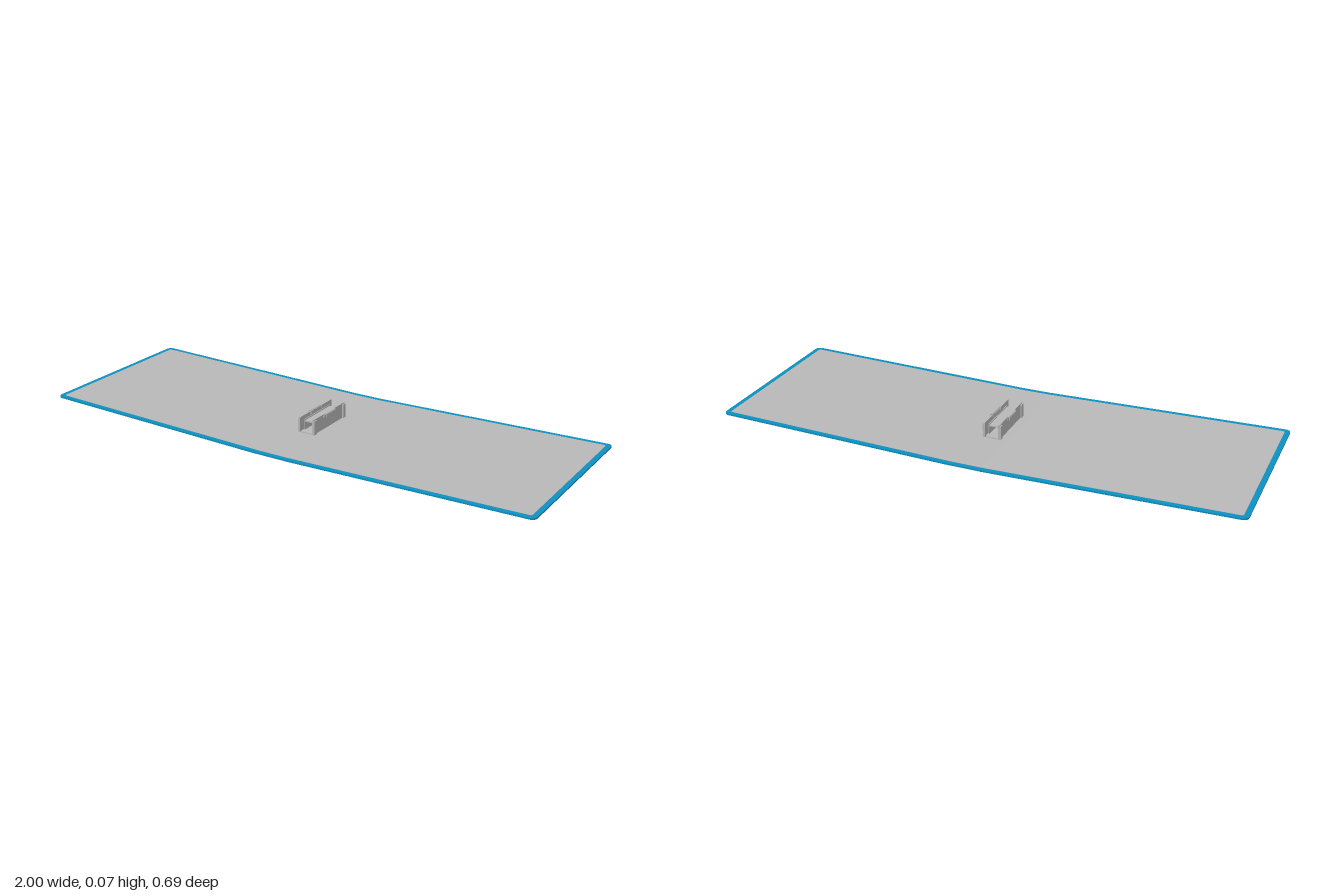
import * as THREE from 'three';

const HALF_X = 1, HALF_Z = 0.346, FLAT = 0.058, RISE = 0.021;

export function createModel() {
  const model = new THREE.Group();
  const blue = new THREE.MeshStandardMaterial({ color: 0x0b90c0 });
  blue.name = 'blue rim';
  const grey = new THREE.MeshStandardMaterial({ color: 0xb8b8b8 });
  grey.name = 'light grey';

  const add = (name, geometry, material, parent = model) => {
    const mesh = new THREE.Mesh(geometry, material);
    mesh.name = name;
    parent.add(mesh);
    return mesh;
  };
  const box = (name, sx, sy, sz, x, y, z, parent) => {
    const m = add(name, new THREE.BoxGeometry(sx, sy, sz), grey, parent);
    m.position.set(x, y, z);
  };

  // One sloping wing: flat slab with two rounded outer corners, sheared upward
  const wing = (inset, y, thickness) => {
    const x = HALF_X - inset, z = HALF_Z - inset, r = inset ? 0.008 : 0.02;
    const s = new THREE.Shape();
    s.moveTo(FLAT, -z);
    s.lineTo(x - r, -z);
    s.absarc(x - r, -z + r, r, -Math.PI / 2, 0, false);
    s.absarc(x - r, z - r, r, 0, Math.PI / 2, false);
    s.lineTo(FLAT, z);
    const g = new THREE.ExtrudeGeometry(s, { depth: thickness, bevelEnabled: false, curveSegments: 6 });
    g.rotateX(-Math.PI / 2);
    const p = g.attributes.position;
    for (let i = 0; i < p.count; i++) {
      p.setY(i, p.getY(i) + y + RISE * (p.getX(i) - FLAT) / (HALF_X - FLAT));
    }
    g.computeVertexNormals();
    return g;
  };

  // Two mirrored wings: blue tray with a grey face inside the rim
  for (const [side, turn] of [['left', 0], ['right', Math.PI]]) {
    add(side + 'Tray', wing(0, 0, 0.0055), blue).rotation.y = turn;
    add(side + 'Face', wing(0.019, 0.0055, 0.001), grey).rotation.y = turn;
  }

  // Flat middle section with a grey strip underneath
  const middle = add('middleTray', new THREE.BoxGeometry(FLAT * 2, 0.0045, HALF_Z * 2), blue);
  middle.position.y = 0.00325;
  box('undersideStrip', FLAT * 2, 0.001, HALF_Z * 2, 0, 0.0005, 0);
  box('middleFace', FLAT * 2, 0.001, (HALF_Z - 0.019) * 2, 0, 0.006, 0);

  // Clip bracket in the centre
  const bracket = new THREE.Group();
  bracket.name = 'bracket';
  model.add(bracket);
  box('bracketFloor', 0.06, 0.004, 0.215, 0, 0.008, 0, bracket);
  box('bridgePlate', 0.046, 0.005, 0.172, 0, 0.0445, 0, bracket);

  // Side wall outline with two slots that free the middle tab
  const wall = new THREE.Shape([
    [-0.109, 0.006], [0.109, 0.006], [0.109, 0.065], [0.038, 0.065],
    [0.038, 0.053], [0.033, 0.053], [0.033, 0.062], [-0.033, 0.062],
    [-0.033, 0.053], [-0.038, 0.053], [-0.038, 0.065], [-0.109, 0.065],
  ].map(([a, b]) => new THREE.Vector2(a, b)));
  const wallGeometry = new THREE.ExtrudeGeometry(wall, { depth: 0.005, bevelEnabled: false });
  wallGeometry.rotateY(Math.PI / 2);

  // Outward-curling lip on the tab
  const lip = new THREE.Shape();
  lip.moveTo(0, 0.06);
  lip.absarc(0.007, 0.06, 0.007, Math.PI, 0, true);
  lip.lineTo(0.014, 0.053);
  lip.lineTo(0.011, 0.053);
  lip.lineTo(0.011, 0.06);
  lip.absarc(0.007, 0.06, 0.004, 0, Math.PI, false);
  const lipGeometry = new THREE.ExtrudeGeometry(lip, { depth: 0.066, bevelEnabled: false, curveSegments: 8 });
  lipGeometry.translate(0.026, 0, -0.033);

  for (const [side, turn] of [['left', 0], ['right', Math.PI]]) {
    const half = new THREE.Group();
    half.name = side + 'Clip';
    half.rotation.y = turn;
    bracket.add(half);
    add('sideWall', wallGeometry, grey, half).position.x = 0.026;
    add('tabLip', lipGeometry, grey, half);
    box('innerRail', 0.003, 0.042, 0.172, 0.0215, 0.03, 0, half);
    for (const z of [-0.1, 0.1]) box('endFlange', 0.006, 0.055, 0.016, 0.033, 0.0335, z, half);
  }
  return model;
}
